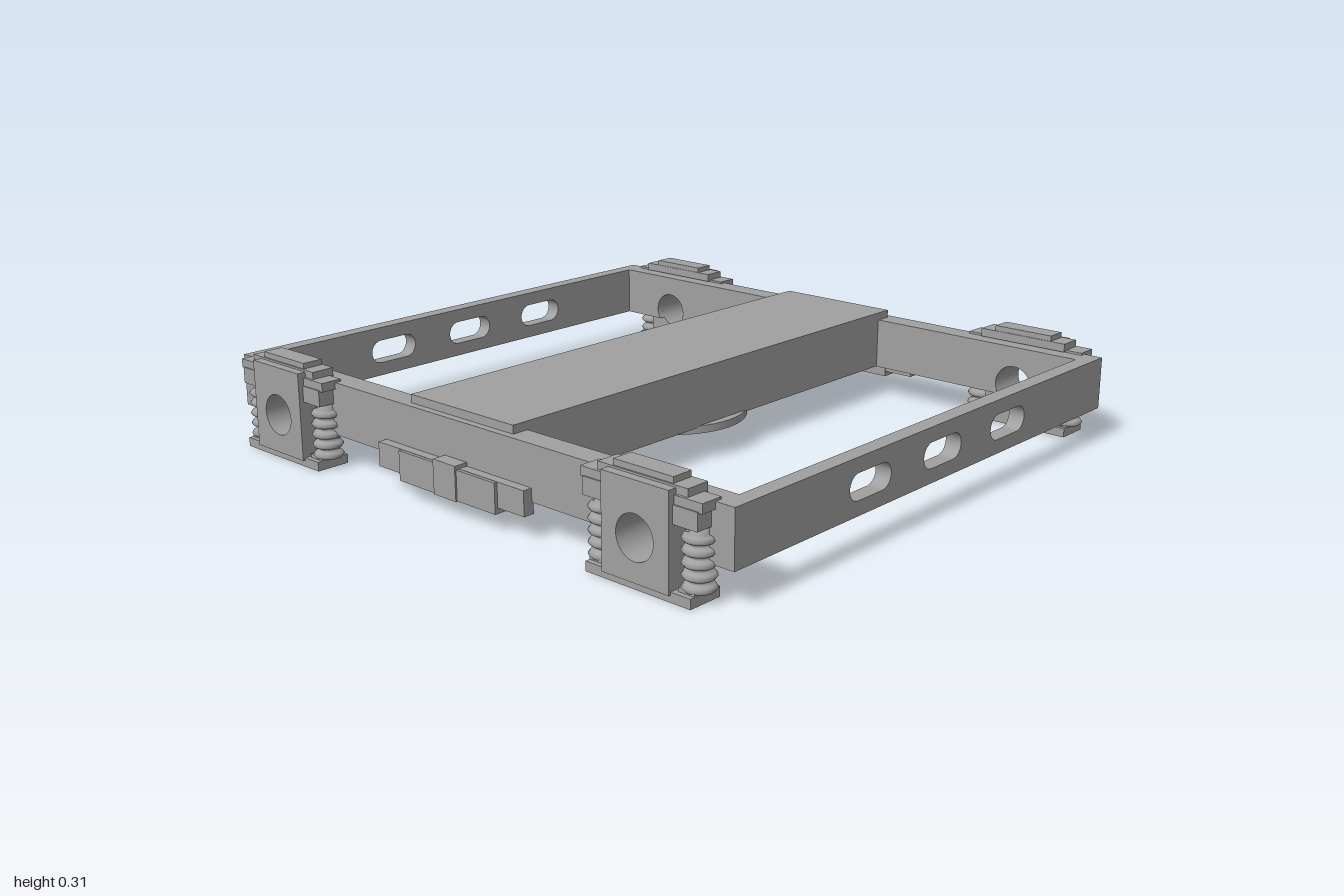
import * as THREE from 'three';

export function createModel() {
  const model = new THREE.Group();
  model.name = 'runningGearFrame';
  const grey = new THREE.MeshStandardMaterial({ color: 0xa0a0a0 });
  grey.name = 'plain grey';

  const AXLE_X = 0.737, AXLE_Y = 0.14, AXLE_R = 0.063;
  const BOTTOM = 0.104, TOP = 0.267;

  const add = (parent, name, geometry) => {
    const mesh = new THREE.Mesh(geometry, grey);
    mesh.name = name;
    parent.add(mesh);
    return mesh;
  };
  // Box given by its limits on each axis
  const box = (parent, name, x0, x1, y0, y1, z0, z1) => {
    const mesh = add(parent, name, new THREE.BoxGeometry(x1 - x0, y1 - y0, z1 - z0));
    mesh.position.set((x0 + x1) / 2, (y0 + y1) / 2, (z0 + z1) / 2);
    return mesh;
  };
  const extrude = (shape, depth) =>
    new THREE.ExtrudeGeometry(shape, { depth, bevelEnabled: false, curveSegments: 24 });
  const rectangle = (x0, x1, y0, y1) => new THREE.Shape([
    new THREE.Vector2(x0, y0), new THREE.Vector2(x1, y0),
    new THREE.Vector2(x1, y1), new THREE.Vector2(x0, y1)]);

  // End beam with two axle openings cut up from its lower edge
  function endBeamGeometry() {
    const a = Math.asin((AXLE_Y - BOTTOM) / AXLE_R);
    const shape = new THREE.Shape();
    shape.moveTo(-1, BOTTOM);
    for (const s of [-1, 1]) {
      shape.lineTo(s * AXLE_X - AXLE_R * Math.cos(a), BOTTOM);
      shape.absarc(s * AXLE_X, AXLE_Y, AXLE_R, Math.PI + a, -a, true);
    }
    shape.lineTo(1, BOTTOM);
    shape.lineTo(1, TOP);
    shape.lineTo(-1, TOP);
    return extrude(shape, 0.075);
  }

  // Side rail with three rounded slots
  function sideRailGeometry() {
    const shape = rectangle(-0.806, 0.806, BOTTOM, TOP);
    for (const c of [-0.335, 0, 0.335]) {
      const slot = new THREE.Path();
      slot.absarc(c - 0.053, 0.185, 0.038, Math.PI / 2, Math.PI * 1.5, false);
      slot.absarc(c + 0.053, 0.185, 0.038, -Math.PI / 2, Math.PI / 2, false);
      slot.closePath();
      shape.holes.push(slot);
    }
    return extrude(shape, 0.05).rotateY(Math.PI / 2);
  }

  // Stack of flat coils as one turned profile
  function springGeometry() {
    const points = [new THREE.Vector2(0, 0.025)];
    const coils = 5, pitch = 0.16 / coils;
    for (let i = 0; i < coils; i++) {
      const y = 0.028 + i * pitch;
      points.push(new THREE.Vector2(0.027, y), new THREE.Vector2(0.04, y + 0.003),
        new THREE.Vector2(0.046, y + 0.011), new THREE.Vector2(0.04, y + 0.02),
        new THREE.Vector2(0.027, y + 0.023));
    }
    points.push(new THREE.Vector2(0.027, 0.205), new THREE.Vector2(0, 0.205));
    return new THREE.LatheGeometry(points, 24);
  }

  // Bored axle box with cap, base plate and a spring on either side
  function axleBox() {
    const group = new THREE.Group();
    group.name = 'axleBox';
    const shape = rectangle(-0.113, 0.113, 0.02, 0.264);
    const bore = new THREE.Path();
    bore.absarc(0, AXLE_Y, AXLE_R, 0, Math.PI * 2, true);
    shape.holes.push(bore);
    add(group, 'axleBoxBody', extrude(shape, 0.117)).position.z = 0.83;
    box(group, 'basePlate', -0.177, 0.177, 0, 0.028, 0.832, 0.94);
    box(group, 'capLower', -0.203, 0.203, 0.247, 0.274, 0.86, 0.928);
    box(group, 'capMiddle', -0.15, 0.15, 0.27, 0.296, 0.847, 0.92);
    box(group, 'capUpper', -0.1, 0.1, 0.29, 0.313, 0.85, 0.915);
    box(group, 'capFront', -0.113, 0.113, 0.262, 0.29, 0.88, 0.947);
    for (const s of [-1, 1]) {
      const spring = add(group, 'spring', springGeometry());
      spring.position.set(s * 0.158, 0, 0.885);
      const x = s * 0.15;
      box(group, 'springSeat', x - 0.041, x + 0.041, 0.2, 0.25, 0.865, 0.932);
      box(group, 'springFoot', x - 0.027, x + 0.027, 0.02, 0.04, 0.845, 0.925);
    }
    return group;
  }

  // Both ends are alike, turned half round
  for (const turn of [0, Math.PI]) {
    const end = new THREE.Group();
    end.name = turn ? 'backEnd' : 'frontEnd';
    end.rotation.y = turn;
    add(end, 'endBeam', endBeamGeometry()).position.z = 0.806;
    for (const s of [-1, 1]) {
      const axle = axleBox();
      axle.position.x = s * AXLE_X;
      end.add(axle);
    }
    box(end, 'springPlank', -0.303, 0.303, 0.07, 0.144, 0.875, 0.91);
    box(end, 'springPlankCentre', -0.2, 0.2, 0.053, 0.143, 0.872, 0.92);
    box(end, 'plankClip', -0.046, 0.046, 0.052, 0.155, 0.87, 0.925);
    model.add(end);
  }

  for (const x of [-1, 0.95]) add(model, 'sideRail', sideRailGeometry()).position.x = x;

  // Cross bolster, its top plate resting on the end beams
  box(model, 'bolster', -0.21, 0.21, BOTTOM + 0.001, 0.28, -0.81, 0.81);
  box(model, 'bolsterTop', -0.212, 0.212, 0.262, 0.292, -0.858, 0.858);

  // Pivot disc and hexagonal nut underneath
  const disc = add(model, 'pivotDisc', new THREE.CylinderGeometry(0.237, 0.237, 0.024, 48));
  disc.position.y = 0.098;
  const nutGeometry = new THREE.CylinderGeometry(0.086, 0.086, 0.044, 6).toNonIndexed();
  nutGeometry.computeVertexNormals();
  const nut = add(model, 'pivotNut', nutGeometry);
  nut.rotation.y = Math.PI / 6;
  nut.position.y = 0.072;

  return model;
}
